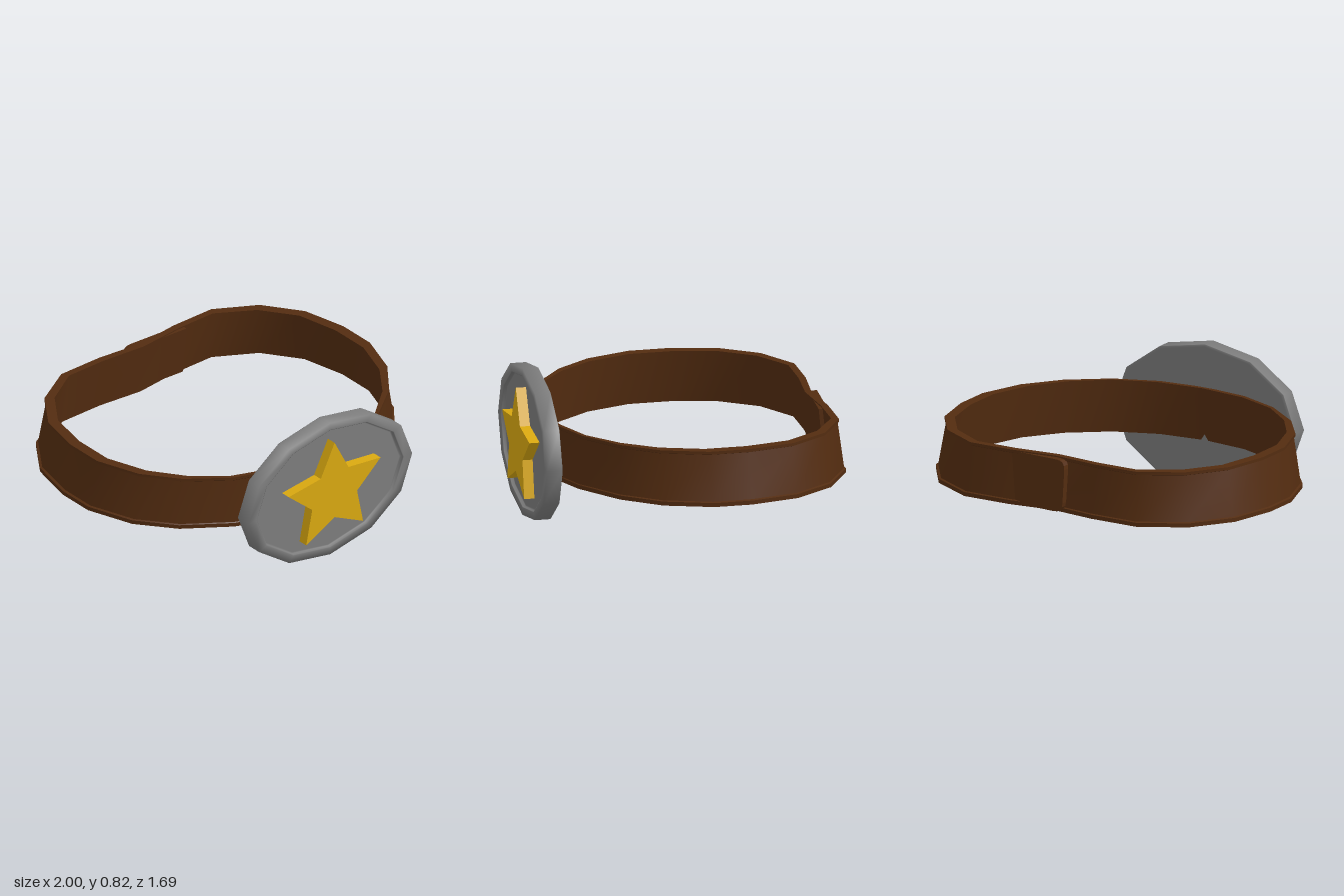
import * as THREE from 'three';
import { toCreasedNormals } from 'three/addons/utils/BufferGeometryUtils.js';

const mat = (color) => new THREE.MeshStandardMaterial({ color });

function addMesh(group, name, geometry, material) {
  const mesh = new THREE.Mesh(geometry, material);
  mesh.name = name;
  group.add(mesh);
  return mesh;
}

// Half outlines from front centre to back centre: outer bottom edge and inner top edge
const OUTER = [[0, 0.75], [0.26, 0.72], [0.51, 0.62], [0.75, 0.45], [0.91, 0.25], [1, -0.01],
  [1, -0.22], [0.94, -0.48], [0.785, -0.7], [0.54, -0.837], [0.26, -0.837], [0, -0.805]];
const INNER = [[0, 0.7], [0.27, 0.67], [0.5, 0.58], [0.68, 0.43], [0.81, 0.25], [0.89, 0.02],
  [0.89, -0.21], [0.84, -0.45], [0.705, -0.64], [0.5, -0.765], [0.26, -0.765], [0, -0.74]];

// Strap section: [blend from outer to inner outline, height], with a small lip on both edges
const SECTION = [[0, 0.288], [0, 0.31], [0.12, 0.314], [0.55, 0.562], [0.46, 0.566],
  [0.46, 0.582], [1, 0.582], [0.55, 0.288]];

const mirrorLoop = (half) =>
  [...half, ...half.slice(1, -1).reverse().map(([x, z]) => [-x, z])];

function strapGeometry() {
  const outer = mirrorLoop(OUTER), inner = mirrorLoop(INNER);
  const n = outer.length, m = SECTION.length;
  const positions = [], index = [];
  for (let i = 0; i < n; i++) {
    for (const [t, y] of SECTION) {
      positions.push(
        THREE.MathUtils.lerp(outer[i][0], inner[i][0], t), y,
        THREE.MathUtils.lerp(outer[i][1], inner[i][1], t));
    }
    for (let j = 0; j < m; j++) {
      const a = i * m + j, d = i * m + (j + 1) % m;
      const b = ((i + 1) % n) * m + j, c = ((i + 1) % n) * m + (j + 1) % m;
      index.push(a, b, c, a, c, d);
    }
  }
  const geo = new THREE.BufferGeometry();
  geo.setAttribute('position', new THREE.Float32BufferAttribute(positions, 3));
  geo.setIndex(index);
  return toCreasedNormals(geo, 0.7);
}

// Rounded strap end lapped over the back, leaning with the strap's taper
function strapEndGeometry() {
  const x0 = -0.08, x1 = 0.3, y0 = 0.295, y1 = 0.575, r = 0.05;
  const s = new THREE.Shape();
  s.moveTo(x1, y0);
  s.lineTo(x1, y1);
  s.lineTo(x0 + r, y1);
  s.quadraticCurveTo(x0, y1, x0, y1 - r);
  s.lineTo(x0, y0 + r);
  s.quadraticCurveTo(x0, y0, x0 + r, y0);
  s.closePath();
  const geo = new THREE.ExtrudeGeometry(s, { depth: 0.05, bevelEnabled: false, curveSegments: 4 });
  const p = geo.attributes.position;
  for (let i = 0; i < p.count; i++) {
    const x = p.getX(i), y = p.getY(i);
    p.setZ(i, p.getZ(i) - 0.845 + 0.06 * (x - x0) + 0.1 * (y - y0));
  }
  geo.computeVertexNormals();
  return geo;
}

// Twelve-sided oval plate with a raised, softly shaded rim and a sunken face
function plateGeometry() {
  const profile = [[0, 0.72], [0.97, 0.72], [0.998, 0.721], [1, 0.724], [1, 0.808], [0.9, 0.808],
    [0.89, 0.806], [0.888, 0.79], [0.87, 0.789], [0, 0.789]];
  const geo = new THREE.LatheGeometry(profile.map(([r, z]) => new THREE.Vector2(r, z)), 12);
  geo.rotateX(Math.PI / 2);
  geo.scale(0.57, 0.408, 1);
  geo.translate(0, 0.413, 0);
  return geo;
}

function starGeometry() {
  const points = [];
  for (let i = 0; i < 10; i++) {
    const a = i * Math.PI / 5, r = i % 2 ? 0.152 : 0.311;
    points.push(new THREE.Vector2(-Math.sin(a) * r * 1.08, 0.405 + Math.cos(a) * r));
  }
  const geo = new THREE.ExtrudeGeometry(new THREE.Shape(points), { depth: 0.07, bevelEnabled: false });
  geo.translate(0, 0, 0.775);
  return geo;
}

export function createModel() {
  const model = new THREE.Group();
  model.name = 'belt';
  const leather = mat(0x532c10);

  const strap = new THREE.Group();
  strap.name = 'strap';
  addMesh(strap, 'strapLoop', strapGeometry(), leather);
  addMesh(strap, 'strapEnd', strapEndGeometry(), leather);

  const buckle = new THREE.Group();
  buckle.name = 'buckle';
  addMesh(buckle, 'bucklePlate', plateGeometry(), mat(0x7c7c7c));
  addMesh(buckle, 'buckleStar', starGeometry(), mat(0xd9a810));

  model.add(strap, buckle);
  return model;
}
